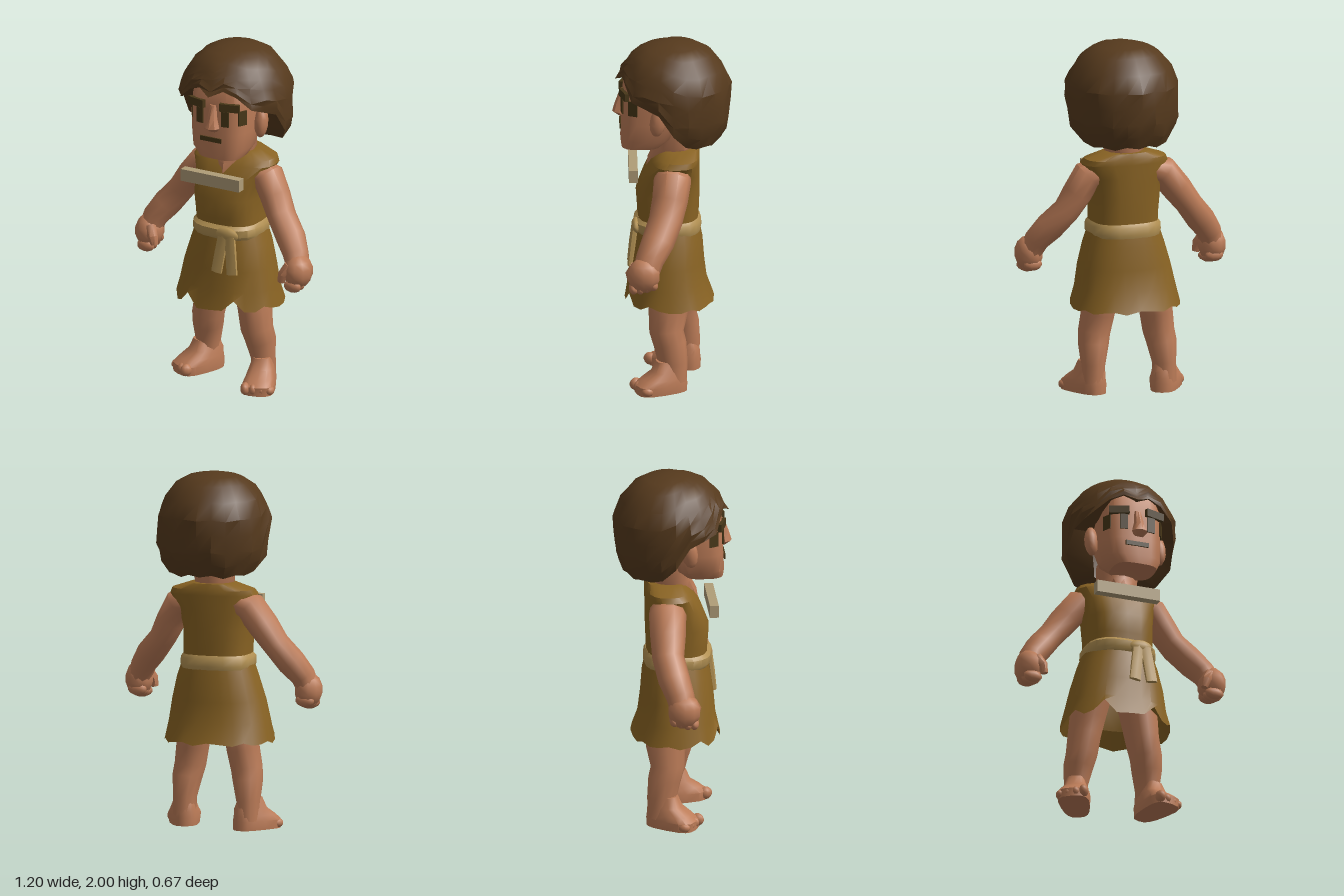
import * as THREE from 'three';
import { toCreasedNormals } from 'three/addons/utils/BufferGeometryUtils.js';

const V = (x, y, z) => new THREE.Vector3(x, y, z);
const material = (name, color, side = THREE.FrontSide) => {
  const m = new THREE.MeshStandardMaterial({ color, side });
  m.name = name;
  return m;
};

// Joins closed rings of points into a surface, with optional end caps.
function loft(rings, capStart = true, capEnd = true, crease = 0.7) {
  const pos = [];
  const tri = (...pts) => pts.forEach((p) => pos.push(p.x, p.y, p.z));
  const n = rings[0].length;
  for (let r = 0; r < rings.length - 1; r++) {
    for (let i = 0; i < n; i++) {
      const j = (i + 1) % n, lo = rings[r], hi = rings[r + 1];
      tri(lo[i], lo[j], hi[j]);
      tri(lo[i], hi[j], hi[i]);
    }
  }
  const cap = (ring, flip) => {
    const c = ring.reduce((s, p) => s.add(p), V(0, 0, 0)).divideScalar(n);
    ring.forEach((p, i) => {
      const q = ring[(i + 1) % n];
      flip ? tri(c, q, p) : tri(c, p, q);
    });
  };
  if (capStart) cap(rings[0], true);
  if (capEnd) cap(rings[rings.length - 1], false);
  const g = new THREE.BufferGeometry();
  g.setAttribute('position', new THREE.Float32BufferAttribute(pos, 3));
  return toCreasedNormals(g, crease);
}

// Level ring: centre x, height, back z, front z, half width; power > 2 squares it off.
function ring([cx, y, z0, z1, hw], n, power = 2) {
  const soft = (v) => Math.sign(v) * Math.abs(v) ** (2 / power);
  return Array.from({ length: n }, (_, i) => {
    const a = (i / n) * Math.PI * 2;
    return V(cx + hw * soft(Math.sin(a)), y, (z0 + z1) / 2 + ((z1 - z0) / 2) * soft(Math.cos(a)));
  });
}
const stack = (rows, n, power) => rows.map((r) => ring(r, n, power));

// Limb along a path of [x, y, z, depth radius, width radius].
function limb(path, n = 10) {
  const p = path.map((q) => V(q[0], q[1], q[2]));
  return loft(path.map(([, , , ru, rv], k) => {
    const t = p[Math.min(k + 1, p.length - 1)].clone().sub(p[Math.max(k - 1, 0)]).normalize();
    const u = V(0, 0, 1).addScaledVector(t, -t.z).normalize();
    const v = t.clone().cross(u);
    return Array.from({ length: n }, (_, i) => {
      const a = (i / n) * Math.PI * 2;
      return p[k].clone().addScaledVector(u, ru * Math.cos(a)).addScaledVector(v, rv * Math.sin(a));
    });
  }), true, true, 0.9);
}

export function createModel() {
  const skin = material('skin', 0xbb7b57);
  const hair = material('hair', 0x563a1d, THREE.DoubleSide);
  const cloth = material('tunic cloth', 0x896323, THREE.DoubleSide);
  const sash = material('sash', 0xb39153);
  const bone = material('pale bar', 0xb09d78);
  const dark = material('brow and eye', 0x483718);

  const model = new THREE.Group();
  const add = (name, geo, mat, parent = model) => {
    const m = new THREE.Mesh(geo, mat);
    m.name = name;
    parent.add(m);
    return m;
  };
  const box = (name, mat, x, y, z, w, h, d, ry = 0, rz = 0) => {
    const m = add(name, new THREE.BoxGeometry(w, h, d), mat);
    m.position.set(x, y, z);
    m.rotation.set(0, ry, rz);
  };
  const blob = (name, mat, x, y, z, rx, ry, rz, parent = model) => {
    const m = add(name, new THREE.SphereGeometry(1, 10, 7), mat, parent);
    m.position.set(x, y, z);
    m.scale.set(rx, ry, rz);
    return m;
  };

  // Head with a flat jaw, and a neck that shows in the collar
  add('head', loft(stack([
    [0.045, 1.41, 0.06, 0.28, 0.125], [0.035, 1.46, 0, 0.285, 0.16], [0.03, 1.56, -0.05, 0.28, 0.172],
    [0.03, 1.7, -0.1, 0.275, 0.178], [0.03, 1.82, -0.1, 0.265, 0.17], [0.03, 1.9, -0.08, 0.2, 0.12],
  ], 20, 3.3)), skin);
  add('neck', loft(stack([
    [0.02, 1.27, -0.1, 0.14, 0.045], [0.02, 1.33, -0.12, 0.13, 0.085],
    [0.02, 1.39, -0.13, 0.1, 0.115], [0.02, 1.5, -0.13, 0.1, 0.12],
  ], 12)), skin);
  add('nose', loft(stack([
    [0.04, 1.575, 0.25, 0.295, 0.025], [0.04, 1.6, 0.25, 0.33, 0.045],
    [0.038, 1.65, 0.25, 0.315, 0.03], [0.035, 1.73, 0.25, 0.285, 0.02],
  ], 8)), skin);
  box('mouth', dark, 0.028, 1.526, 0.285, 0.135, 0.026, 0.009);
  for (const s of [-1, 1]) {
    const x = 0.033;
    const ear = blob('ear', skin, x + s * 0.2, 1.6, 0.075, 0.04, 0.09, 0.048);
    ear.rotation.set(-0.15, s * 0.4, 0);
    box('eyebrow', dark, x + s * 0.105, 1.727, 0.265, 0.115, 0.045, 0.024, s * 0.3, -s * 0.03);
    box('eye', dark, x + s * 0.08, 1.657, 0.275, 0.045, 0.09, 0.009, s * 0.15);
    box('temple', dark, x + s * 0.16, 1.66, 0.216, 0.055, 0.085, 0.009, s * 1.1);
  }

  // Lumpy mop of hair: short fringe over the face, full length behind the ears
  const N = 24;
  const hem = [1.785, 1.82, 1.79, 1.72, 1.69, 1.66, 1.54, 1.46, 1.44, 1.45, 1.43, 1.45, 1.44];
  const outline = [[2, 0.04], [1.985, 0.14], [1.94, 0.22], [1.86, 0.278], [1.76, 0.318], [1.68, 0.312], [1.6, 0.317], [1.5, 0.29], [1.4, 0.235]];
  const radiusAt = (y) => {
    const k = Math.max(1, outline.findIndex((o) => o[0] <= y));
    const [a, b] = [outline[k - 1], outline[k]];
    return THREE.MathUtils.mapLinear(y, a[0], b[0], a[1], b[1]);
  };
  const hairRings = [1.03, 1, 0.88, 0.75, 0.58, 0.42, 0.25, 0.1, 0.03, 0].map((t, row) =>
    Array.from({ length: N }, (_, i) => {
      const a = (i / N) * Math.PI * 2;
      const end = hem[Math.min(i, N - i)];
      const y = row === 0 ? end + 0.02 : 2 - t * (2 - end);
      const lump = 1 + 0.03 * Math.sin(i * 2.1 + row * 1.7) * Math.min(1, t * 3);
      const r = radiusAt(y) * lump * (row === 0 ? 0.5 : 1);
      return V(0.027 + r * Math.sin(a), y, -0.01 + r * 1.02 * Math.cos(a));
    }));
  add('hair', loft(hairRings, false, true, 0.6), hair);

  // Sleeveless tunic with a flared, notched skirt whose hem folds inward
  add('tunicTop', loft(stack([
    [0.01, 0.92, -0.15, 0.185, 0.19], [0.01, 1.02, -0.155, 0.19, 0.19], [0.005, 1.13, -0.16, 0.198, 0.195],
    [0.01, 1.24, -0.16, 0.155, 0.21], [0.02, 1.32, -0.16, 0.115, 0.25], [0.02, 1.35, -0.16, 0.085, 0.235],
    [0.02, 1.385, -0.15, 0.05, 0.13],
  ], 20, 2.7)), cloth);
  const skirt = stack([
    [0, 0.58, -0.19, 0.21, 0.26], [0, 0.48, -0.24, 0.26, 0.31], [0, 0.6, -0.2, 0.235, 0.288],
    [0.005, 0.72, -0.185, 0.225, 0.265], [0.01, 0.85, -0.175, 0.205, 0.23], [0.01, 0.95, -0.155, 0.185, 0.195],
  ], 28, 2.25);
  skirt[1].forEach((p, i) => {
    const k = Math.min(i, 28 - i);
    p.y = k === 2 ? 0.56 : k === 5 ? 0.52 : 0.49 + 0.01 * Math.sin(i * 2.3);
  });
  add('skirt', loft(skirt, false, false), cloth);

  // Sash with a flat knot and two hanging ends
  add('sash', loft(stack([
    [0.01, 0.9, -0.165, 0.195, 0.2], [0.01, 0.92, -0.17, 0.21, 0.207],
    [0.01, 0.96, -0.167, 0.21, 0.205], [0.01, 0.98, -0.155, 0.19, 0.19],
  ], 20, 2.6)), sash);
  blob('sashKnot', sash, 0.08, 0.935, 0.198, 0.075, 0.042, 0.026);
  for (const s of [-1, 1]) {
    add('sashEnd', limb([
      [0.085 + s * 0.02, 0.93, 0.205, 0.018, 0.035], [0.085 + s * 0.035, 0.83, 0.218, 0.018, 0.035],
      [0.085 + s * 0.05, 0.715, 0.232, 0.014, 0.036],
    ], 6), sash);
  }

  // Pale bar floating before the chest
  box('chestBar', bone, -0.005, 1.255, 0.213, 0.375, 0.07, 0.05);

  // Arms, each with a large closed fist
  const arms = {
    rightArm: [[-0.13, 1.27, -0.045, 0.095, 0.07], [-0.2, 1.25, -0.05, 0.105, 0.088], [-0.28, 1.15, -0.055, 0.1, 0.085],
      [-0.355, 1.05, -0.06, 0.09, 0.075], [-0.435, 0.95, -0.035, 0.09, 0.08], [-0.495, 0.87, -0.005, 0.08, 0.07], [-0.515, 0.81, 0.01, 0.075, 0.065]],
    leftArm: [[0.16, 1.27, -0.01, 0.095, 0.07], [0.23, 1.25, -0.005, 0.105, 0.085], [0.285, 1.15, 0.01, 0.1, 0.082],
      [0.34, 1.05, 0.035, 0.095, 0.074], [0.425, 0.95, 0.08, 0.092, 0.08], [0.485, 0.87, 0.125, 0.08, 0.07], [0.51, 0.81, 0.145, 0.075, 0.065]],
  };
  for (const [name, path] of Object.entries(arms)) {
    const s = name === 'leftArm' ? 1 : -1;
    add(name, limb(path), skin);
    const hand = new THREE.Group();
    hand.name = name === 'leftArm' ? 'leftHand' : 'rightHand';
    hand.position.set(s * 0.52, 0.79, s > 0 ? 0.16 : 0.015);
    model.add(hand);
    blob('palm', skin, 0, 0, 0, 0.08, 0.1, 0.094, hand);
    for (let i = 0; i < 4; i++) {
      blob('finger', skin, -s * 0.005, -0.055 - 0.01 * Math.min(i, 2), -0.055 + i * 0.037, 0.055, 0.035, 0.028, hand);
    }
    add('thumb', limb([[-s * 0.03, 0.04, 0.045, 0.035, 0.035], [-s * 0.06, -0.01, 0.07, 0.032, 0.03], [-s * 0.07, -0.055, 0.07, 0.02, 0.02]], 7), skin, hand);
  }

  // Legs and splayed feet; the right one stands further back
  const legs = [
    { name: 'left', s: 1, dz: 0, foot: [0.222, 0.06], yaw: 0.33 },
    { name: 'right', s: -1, dz: -0.075, foot: [-0.225, -0.025], yaw: -0.5 },
  ];
  for (const { name, s, dz, foot, yaw } of legs) {
    add(name + 'Leg', limb([
      [s * 0.11, 0.72, 0.01 + dz * 0.4, 0.12, 0.1], [s * 0.145, 0.56, 0.015 + dz * 0.8, 0.118, 0.1],
      [s * 0.16, 0.45, 0.018 + dz, 0.11, 0.092], [s * 0.178, 0.34, 0.028 + dz, 0.096, 0.09],
      [s * 0.19, 0.27, 0.008 + dz, 0.092, 0.085], [s * 0.198, 0.16, -0.008 + dz, 0.082, 0.066], [s * 0.2, 0.05, -0.01 + dz, 0.075, 0.066],
    ], 12), skin);
    const g = new THREE.Group();
    g.name = name + 'Foot';
    g.position.set(foot[0], 0, foot[1]);
    g.rotation.y = yaw;
    model.add(g);
    const rows = stack([
      [0, 0, -0.15, 0.145, 0.083], [0, 0.05, -0.152, 0.145, 0.087], [0, 0.08, -0.148, 0.11, 0.078],
      [0, 0.12, -0.145, 0.05, 0.07], [0, 0.18, -0.12, 0.025, 0.05],
    ], 16, 3);
    rows.flat().forEach((p) => { p.x *= 1 + p.z * 1.4; });
    add('foot', loft(rows), skin, g);
    for (let i = 0; i < 4; i++) {
      const size = 0.036 - i * 0.003;
      blob('toe', skin, s * (-0.066 + i * 0.045), size + 0.001, 0.125 - i * 0.008, 0.027, size, 0.036, g);
    }
  }
  return model;
}
